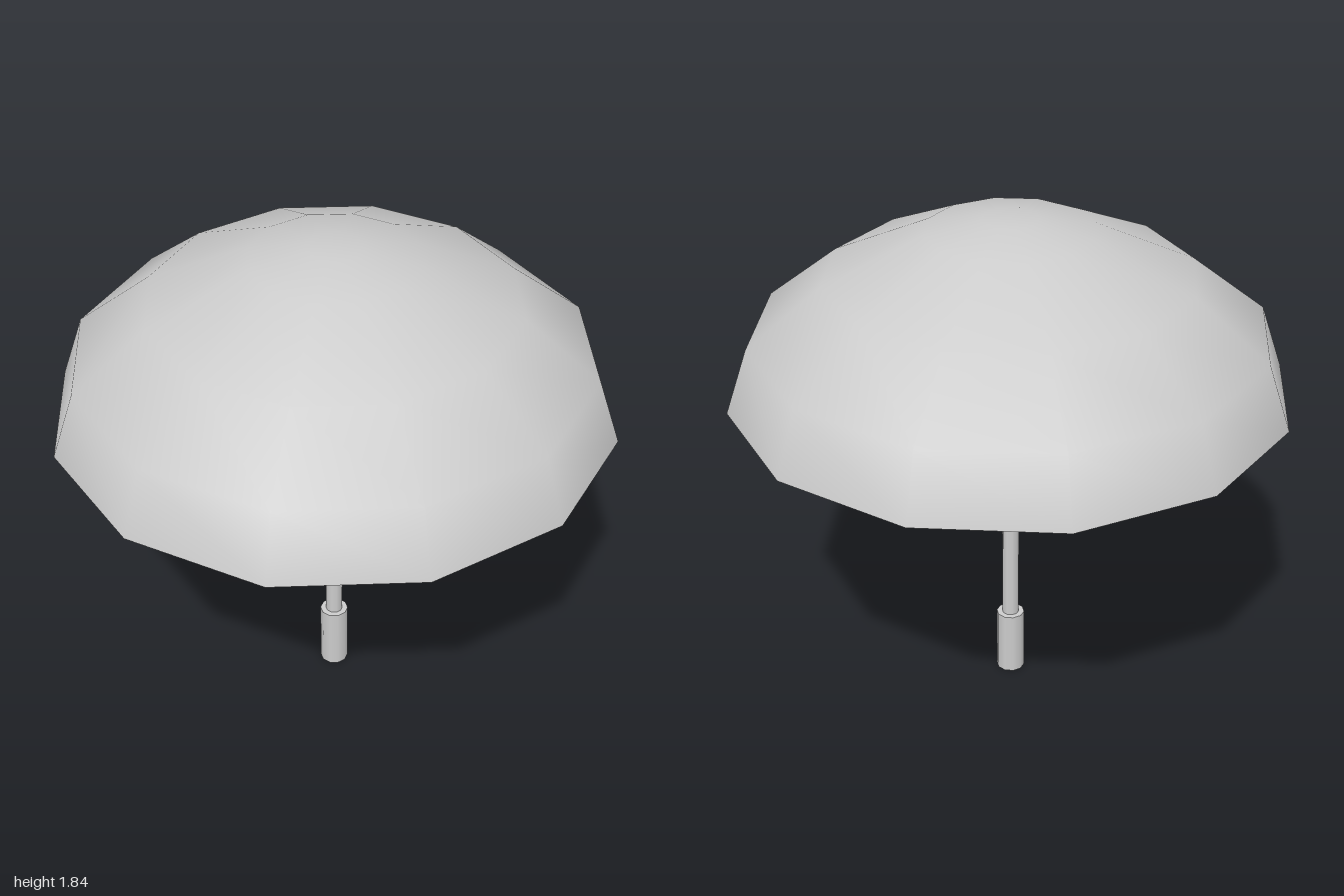
import * as THREE from 'three';

const SIDES = 12;
const material = new THREE.MeshStandardMaterial({ color: 0xcccccc });

// Radius/height profiles, ordered so that faces point away from the shell
const outer = [[1, 1.195], [0.92, 1.43], [0.655, 1.64], [0.3, 1.8], [0.1, 1.84], [0, 1.84]];
const inner = [[0, 1.77], [0.09, 1.77], [0.27, 1.73], [0.6, 1.58], [0.845, 1.39], [0.92, 1.195]];

function part(name, geometry, y = 0) {
  const mesh = new THREE.Mesh(geometry, material);
  mesh.name = name;
  mesh.position.y = y;
  return mesh;
}

function lathe(name, profile) {
  const points = profile.map(([r, y]) => new THREE.Vector2(r, y));
  return part(name, new THREE.LatheGeometry(points, SIDES));
}

function rod(name, radius, bottom, top) {
  const geometry = new THREE.CylinderGeometry(radius, radius, top - bottom, 10);
  return part(name, geometry, (bottom + top) / 2);
}

export function createModel() {
  const model = new THREE.Group();
  model.name = 'umbrella';

  // Thick canopy: separate surfaces keep the rim edges sharp
  const canopy = new THREE.Group();
  canopy.name = 'canopy';
  canopy.add(
    lathe('canopyOutside', outer),
    lathe('canopyLining', inner),
    lathe('canopyRim', [inner[inner.length - 1], outer[0]])
  );

  // Pole reaches into the crown, grip stands on the ground
  model.add(canopy, rod('pole', 0.031, 0.2, 1.8), rod('handle', 0.052, 0, 0.245));
  return model;
}
